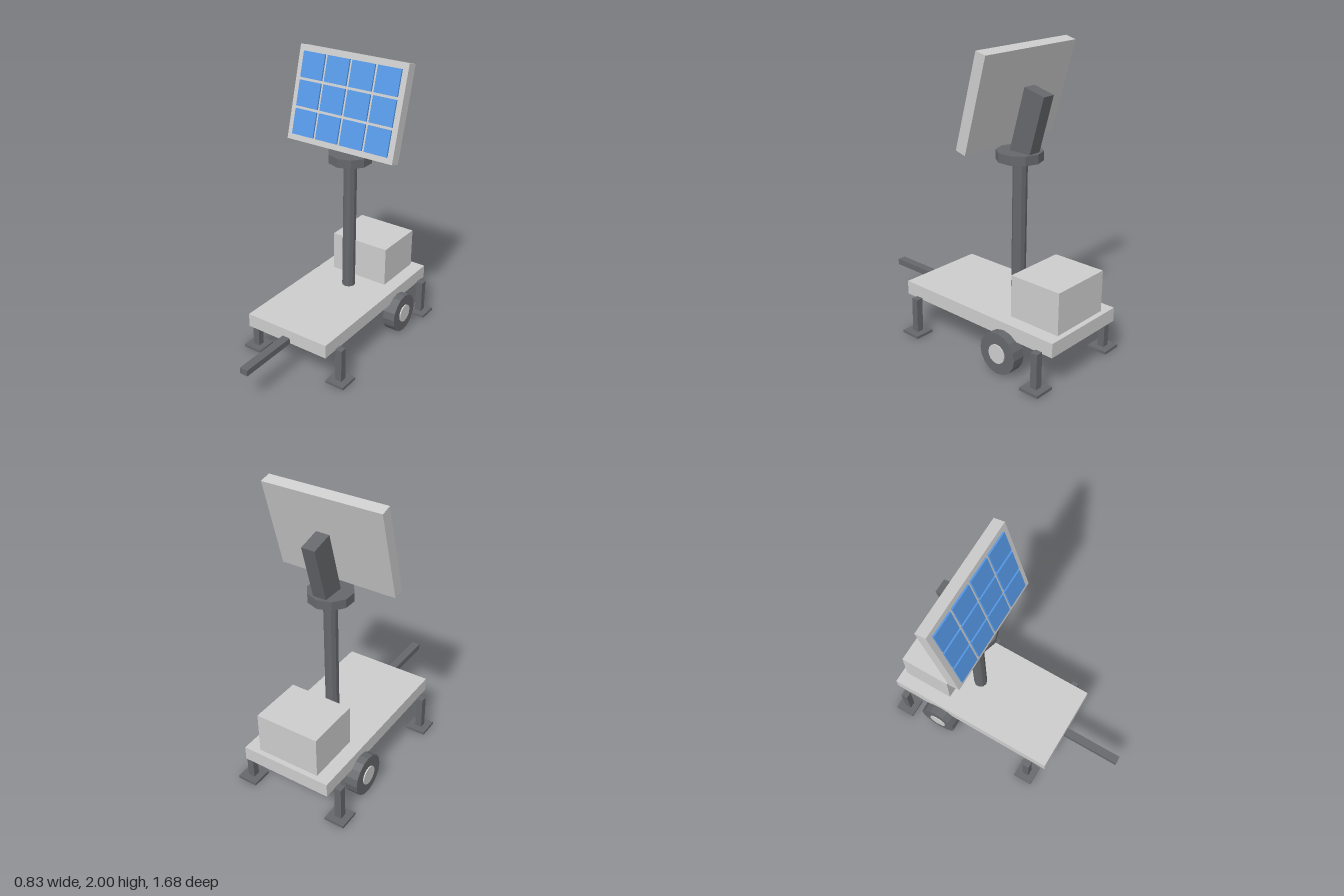
import * as THREE from 'three';

const material = (color) => new THREE.MeshStandardMaterial({ color, flatShading: true });

export function createModel() {
  const light = material(0xcccccc);
  const dark = material(0x66676b);
  const blue = material(0x5598e6);
  const model = new THREE.Group();
  model.name = 'solarTrailer';

  const add = (parent, name, geometry, mat, x, y, z) => {
    const mesh = new THREE.Mesh(geometry, mat);
    mesh.name = name;
    mesh.position.set(x, y, z);
    parent.add(mesh);
    return mesh;
  };
  const box = (w, h, d) => new THREE.BoxGeometry(w, h, d);
  const disc = (r, h, sides) => new THREE.CylinderGeometry(r, r, h, sides);

  // Trailer bed, equipment box and tow bar
  add(model, 'deck', box(0.63, 0.095, 1.255), light, 0, 0.2875, -0.2125);
  add(model, 'equipmentBox', box(0.44, 0.28, 0.37), light, 0, 0.475, -0.62);
  add(model, 'towBar', box(0.058, 0.042, 0.435), dark, 0, 0.256, 0.6225);

  for (const side of [1, -1]) {
    const label = side > 0 ? 'left' : 'right';

    // Wheels, with the hub standing proud on both faces
    const wheel = new THREE.Group();
    wheel.name = label + 'Wheel';
    wheel.position.set(side * 0.331, 0.145, -0.46);
    wheel.rotation.z = Math.PI / 2;
    model.add(wheel);
    add(wheel, 'tire', disc(0.139, 0.09, 16), dark, 0, 0, 0);
    add(wheel, 'hub', disc(0.064, 0.106, 16), light, 0, 0, 0);

    // Stabilizer legs with foot plates
    for (const [end, z] of [['Front', 0.292], ['Back', -0.747]]) {
      const leg = new THREE.Group();
      leg.name = label + end + 'Stabilizer';
      leg.position.set(side * 0.346, 0, z);
      model.add(leg);
      add(leg, 'post', box(0.048, 0.237, 0.048), dark, 0, 0.1375, 0);
      add(leg, 'foot', box(0.14, 0.019, 0.14), dark, 0, 0.0095, 0);
    }
  }

  // Mast and its turntable
  add(model, 'mast', disc(0.047, 0.95, 10), dark, 0, 0.807, -0.306);
  add(model, 'turntable', disc(0.149, 0.06, 10), dark, 0, 1.31, -0.3);

  // Leaning bracket rising from the turntable
  const tilt = -THREE.MathUtils.degToRad(15);
  const bracket = add(model, 'bracket', box(0.092, 0.434, 0.154), dark, 0, 1.518, -0.386);
  bracket.rotation.x = tilt;

  // Tilted solar panel with a 4 by 3 grid of cells
  const panel = new THREE.Group();
  panel.name = 'solarPanel';
  panel.position.set(0, 1.687, -0.2725);
  panel.rotation.x = tilt;
  model.add(panel);
  add(panel, 'frame', box(0.816, 0.625, 0.0765), light, 0, 0, 0);
  const cell = box(0.17, 0.17, 0.02);
  for (let row = 0; row < 3; row++) {
    for (let column = 0; column < 4; column++) {
      add(panel, 'solarCell', cell, blue, (column - 1.5) * 0.189, (row - 1) * 0.188, 0.04);
    }
  }

  return model;
}
